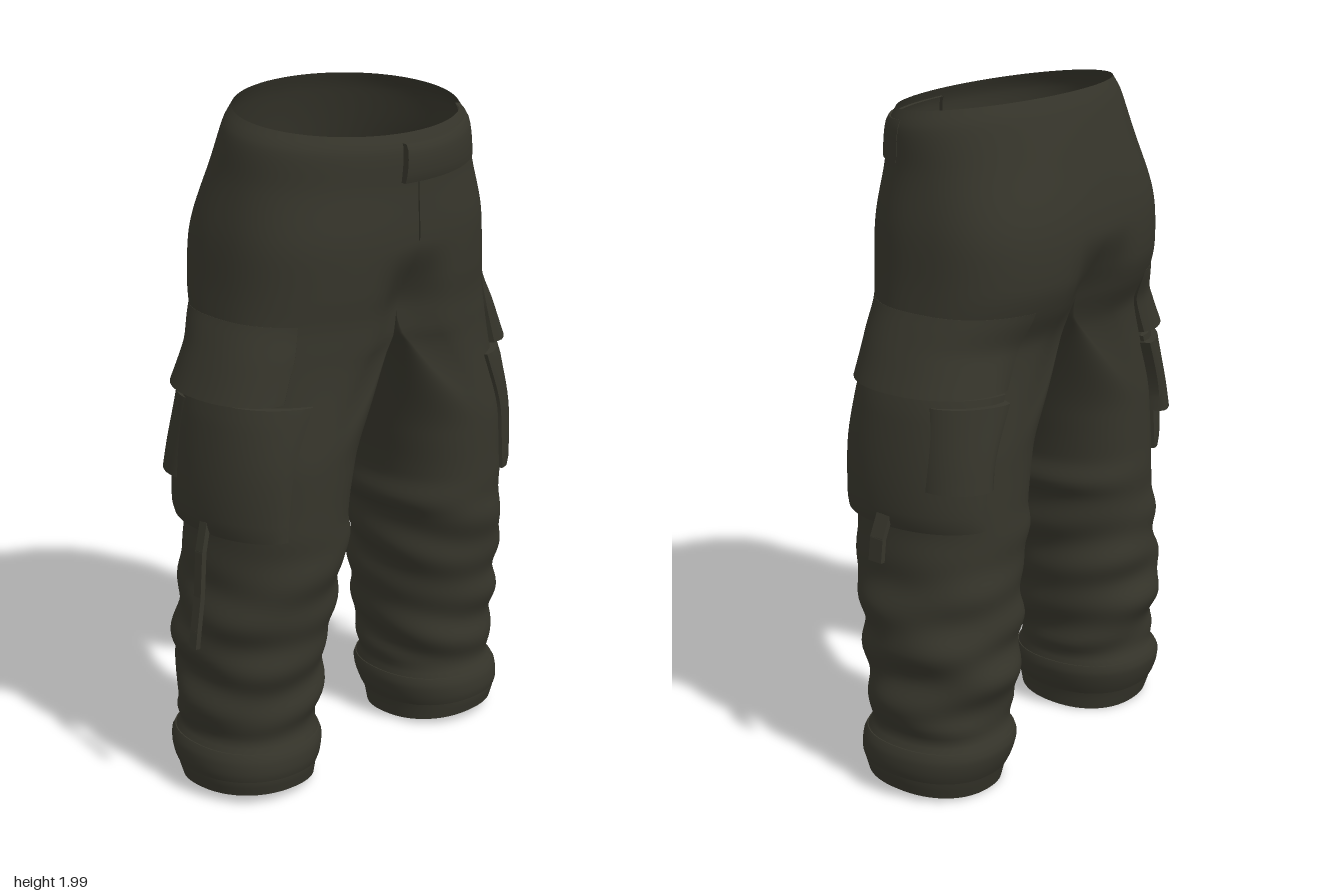
import * as THREE from 'three';
import { mergeGeometries, mergeVertices, toCreasedNormals } from 'three/addons/utils/BufferGeometryUtils.js';

const CENTRE = 0.012, CROTCH = 1.34, TOP = 1.965;
const { smoothstep: smooth, lerp, degToRad } = THREE.MathUtils;

// Half-body profile: height, inner x, outer x, front z, back z
const PROFILE = [
  [0, .195, .56, .19, -.19], [.05, .19, .57, .2, -.205], [.15, .17, .57, .2, -.23],
  [.19, .18, .55, .185, -.213], [.24, .17, .565, .19, -.212], [.35, .16, .55, .205, -.24],
  [.45, .15, .56, .215, -.24], [.6, .135, .545, .245, -.235], [.72, .125, .525, .265, -.24],
  [.78, .1, .52, .27, -.24], [.85, .11, .515, .27, -.24], [1, .085, .505, .275, -.24],
  [1.2, .04, .49, .28, -.245], [1.3, .015, .48, .285, -.25], [1.34, 0, .475, .29, -.258],
  [1.42, 0, .465, .295, -.3], [1.5, 0, .455, .305, -.325], [1.65, 0, .44, .31, -.325],
  [1.8, 0, .41, .305, -.295], [1.92, 0, .39, .305, -.262], [1.965, 0, .36, .288, -.243],
];

// Smooth interpolation through the profile rows
function profileAt(y) {
  let i = 0;
  while (i < PROFILE.length - 2 && y > PROFILE[i + 1][0]) i++;
  const a = PROFILE[i], b = PROFILE[i + 1];
  const before = PROFILE[Math.max(i - 1, 0)], after = PROFILE[Math.min(i + 2, PROFILE.length - 1)];
  const h = b[0] - a[0], t = Math.min(Math.max((y - a[0]) / h, 0), 1);
  return [1, 2, 3, 4].map((k) => {
    const m0 = (b[k] - before[k]) / (b[0] - before[0]) * h;
    const m1 = (after[k] - a[k]) / (after[0] - a[0]) * h;
    const t2 = t * t, t3 = t2 * t;
    return (2 * t3 - 3 * t2 + 1) * a[k] + (t3 - 2 * t2 + t) * m0 + (3 * t2 - 2 * t3) * b[k] + (t3 - t2) * m1;
  });
}

const power = (v, p) => Math.sign(v) * Math.pow(Math.abs(v), p);

// Point on the left half of the cloth. Angle 0 is outward, 90 front, 180 inner leg, -90 back.
function cloth(deg, level, offset = 0) {
  const angle = degToRad(deg), c = Math.cos(angle), s = Math.sin(angle);
  const inner = c < -1e-6;
  const w = smooth(level, 1, CROTCH);

  // The seam runs higher at front and back than between the legs
  const lift = .07 * w * w * (1 - smooth(level, CROTCH, 1.75)) * (inner ? s * s : 1);
  let y = level + lift;
  let [xi, xo, zf, zb] = profileAt(y);
  if (y >= CROTCH) xi = 0;
  xi = Math.max(xi, 0);
  const cz = (zf + zb) / 2, rz = (zf - zb) / 2;

  // Round leg section
  const legX = (xi + xo) / 2 + (xo - xi) / 2 * power(c, .9);
  const legZ = cz + rz * power(s, .9);

  // Half-hip section, open at the centre above the crotch
  const p = lerp(s < 0 ? .74 : .84, 1, smooth(y, 1.6, 1.94));
  const reach = inner && level <= CROTCH ? 0 : Math.abs(c) < 1e-6 ? 0 : (xo - xi) * power(c, p);
  const crease = .24 * w * (1 - smooth(level, CROTCH, 1.6)) * Math.exp(-((reach / .09) ** 2));
  const hipZ = (cz + rz * power(s, p)) * (1 - crease);

  // Soft folds on the lower legs
  const fold = (1 - smooth(level, .45, .95)) * smooth(level, .17, .26)
    * (.006 * Math.sin(level * 44 + 2 * s + c) + .005 * Math.sin(level * 27 - 3 * angle));
  // Sloping hem and waistline
  y += (1 - smooth(level, 0, .15)) * (.02 + .012 * s + .008 * c) - .035 * s * smooth(level, 1.55, 1.95);
  const d = offset + fold;
  return new THREE.Vector3(lerp(legX, xi + reach, w) + d * c, y, lerp(legZ, hipZ, w) + d * s);
}

function gridGeometry(rows, keep = () => true) {
  const cols = rows[0].length, index = [];
  for (let i = 0; i < rows.length - 1; i++) {
    for (let j = 0; j < cols - 1; j++) {
      if (!keep(i, j)) continue;
      const a = i * cols + j, b = a + 1, d = a + cols, e = d + 1;
      index.push(a, d, e, a, e, b);
    }
  }
  const g = new THREE.BufferGeometry().setFromPoints(rows.flat());
  g.setIndex(index);
  return g;
}

function mirrored(geometry) {
  const g = geometry.clone().scale(-1, 1, 1);
  const id = Array.from(g.index.array);
  for (let i = 0; i < id.length; i += 3) [id[i], id[i + 1]] = [id[i + 1], id[i]];
  g.setIndex(id);
  return g;
}

// Two legs and hips as one continuous skin
function trousersGeometry() {
  const cols = 72, legRows = 90, hipRows = 36, rows = [];
  for (let i = 0; i <= legRows + hipRows; i++) {
    const level = i <= legRows ? CROTCH * i / legRows : lerp(CROTCH, TOP, (i - legRows) / hipRows);
    rows.push(Array.from({ length: cols + 1 }, (_, j) => cloth(-90 + 360 * j / cols, level)));
  }
  const half = gridGeometry(rows, (i, j) => i < legRows || j < cols / 2);
  const whole = mergeVertices(mergeGeometries([half, mirrored(half)]), 1e-4);
  whole.computeVertexNormals();
  return whole;
}

// Raised panel that follows the cloth, with its rim tucked in
function panel(from, to, bottom, top, thickness, nu = 20, nv = 14) {
  const rows = [];
  for (let i = -1; i <= nv + 1; i++) {
    const v = Math.min(Math.max(i / nv, 0), 1), row = [];
    for (let j = -1; j <= nu + 1; j++) {
      const u = Math.min(Math.max(j / nu, 0), 1);
      const rim = i < 0 || j < 0 || i > nv || j > nu;
      row.push(cloth(lerp(from, to, u), lerp(bottom, top, v), rim ? -.012 : thickness(u, v)));
    }
    rows.push(row);
  }
  return gridGeometry(rows);
}

export function createModel() {
  const group = new THREE.Group();
  const fabric = new THREE.MeshStandardMaterial({ color: 0x36352b, side: THREE.DoubleSide });
  fabric.name = 'dark olive fabric';

  const add = (name, geometry) => {
    const mesh = new THREE.Mesh(geometry, fabric);
    mesh.name = name;
    mesh.position.x = CENTRE;
    group.add(mesh);
    return mesh;
  };
  const creased = (g) => toCreasedNormals(g, .75);
  const addPair = (name, g) => {
    add('left' + name, creased(g));
    add('right' + name, creased(mirrored(g)));
  };

  add('trousers', trousersGeometry());

  // Cargo pockets with top flaps and small rear flaps
  const bulge = (t) => Math.sqrt(Math.max(Math.sin(Math.PI * t), 0));
  addPair('CargoPocket', panel(-62, 58, .83, 1.185,
    (u, v) => .01 + .045 * bulge(u) * (.55 + .45 * bulge(v)) * (1 - .25 * v)));
  addPair('PocketFlap', panel(-62, 42, 1.195, 1.36,
    (u, v) => (.015 + .055 * bulge(u)) * (1 - v) ** 1.1 + .001));
  addPair('RearFlap', panel(-64, -18, .955, 1.17,
    (u, v) => .03 + .035 * bulge(u) * (1 - .6 * v)));

  // Hem band above each cuff
  addPair('CuffBand', panel(-90, 270, .06, .165, (u, v) => .003 + .004 * bulge(v), 56, 6));

  // Waist tab, fading into the band, and fly placket
  add('waistTab', creased(panel(18, 98, 1.825, 1.94,
    (u, v) => (.001 + .022 * smooth(u, 0, .9)) * (.75 + .25 * bulge(v)), 28, 8)));
  add('flyPlacket', creased(panel(83, 90, 1.61, 1.82, () => .005, 4, 8)));

  // Hanging straps at the pocket bottoms
  const strap = (name, points, width) => {
    for (let i = 0; i < points.length - 1; i++) {
      const a = new THREE.Vector3(...points[i]), b = new THREE.Vector3(...points[i + 1]);
      const mesh = add(name, new THREE.BoxGeometry(.016, a.distanceTo(b) + .006, width));
      mesh.position.copy(a).add(b).multiplyScalar(.5);
      mesh.quaternion.setFromUnitVectors(new THREE.Vector3(0, 1, 0), a.clone().sub(b).normalize());
    }
  };
  strap('leftStrap', [[.565, .86, .03], [.59, .8, .033], [.596, .735, .035]], .045);
  strap('rightStrap', [[-.54, .86, .03], [-.562, .78, .035], [-.575, .65, .04], [-.594, .55, .045], [-.6, .505, .045]], .03);

  return group;
}
